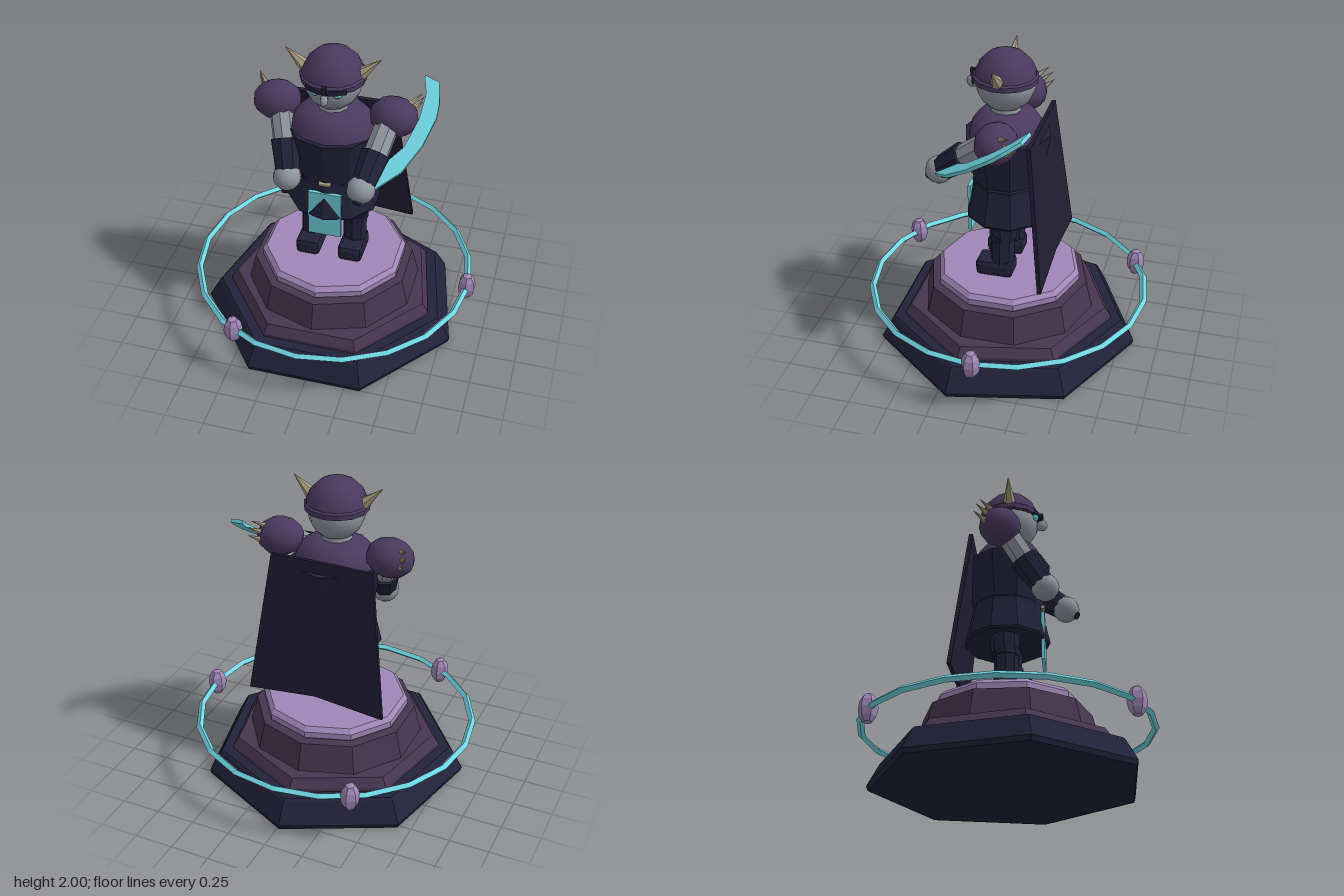
import * as THREE from 'three';
import { RoundedBoxGeometry } from 'three/addons/geometries/RoundedBoxGeometry.js';

const mat = (name, color) => {
  const m = new THREE.MeshStandardMaterial({ color });
  m.name = name;
  return m;
};

export function createModel() {
  const navy = mat('navy', 0x22223a), capeCloth = mat('cape cloth', 0x211e33);
  const purple = mat('purple', 0x4a3a5e), plum = mat('plum', 0x46364f);
  const lilac = mat('lilac', 0x9f87b5), cyan = mat('cyan', 0x70d6e0);
  const skin = mat('grey skin', 0x8f959d), bone = mat('bone', 0xab9f82);

  const root = new THREE.Group();
  root.name = 'warriorOnPedestal';
  root.position.x = -0.015;

  const flat = (geo) => {
    const g = geo.index ? geo.toNonIndexed() : geo;
    g.computeVertexNormals();
    return g;
  };
  const add = (name, geo, material, pos = [0, 0, 0], scale = [1, 1, 1]) => {
    const m = new THREE.Mesh(geo, material);
    m.name = name;
    m.position.set(...pos);
    m.scale.set(...scale);
    root.add(m);
    return m;
  };
  const lathe = (pts, n, start = 0) =>
    new THREE.LatheGeometry(pts.map(([r, y]) => new THREE.Vector2(r, y)), n, start);
  // Tapered cylinder from point a to point b
  const limb = (name, a, b, ra, rb, material, sides = 8) => {
    const A = new THREE.Vector3(...a), d = new THREE.Vector3(...b).sub(A);
    const m = add(name, flat(new THREE.CylinderGeometry(rb, ra, d.length(), sides)), material);
    m.position.copy(A).addScaledVector(d, 0.5);
    m.quaternion.setFromUnitVectors(new THREE.Vector3(0, 1, 0), d.normalize());
    return m;
  };
  const spike = (name, a, b, r) => limb(name, a, b, r, 0.001, bone, 6);
  const shape = (pts) => new THREE.Shape(pts.map(([x, y]) => new THREE.Vector2(x, y)));

  // Stepped pedestal
  add('pedestalBase', flat(lathe([[0, 0], [0.835, 0], [0.845, 0.03], [0.77, 0.165], [0.755, 0.178], [0, 0.178]], 7, Math.PI)), navy);
  add('pedestalStep', flat(lathe([[0, 0.17], [0.685, 0.178], [0.685, 0.2], [0.645, 0.257], [0, 0.257]], 7, Math.PI)), plum);
  add('pedestalDrum', flat(lathe([[0.56, 0.25], [0.515, 0.435], [0, 0.435]], 10)), plum);
  add('pedestalTop', flat(lathe([[0.45, 0.435], [0.467, 0.45], [0.467, 0.49], [0.44, 0.518], [0, 0.518]], 10)), lilac);

  // Floating ring with three gems
  add('ring', flat(new THREE.TorusGeometry(0.888, 0.022, 4, 20)), cyan, [0, 0.35, 0]).rotation.x = Math.PI / 2;
  for (let i = 0; i < 3; i++) {
    const a = (i * Math.PI * 2) / 3;
    const gem = add('ringGem', flat(new THREE.SphereGeometry(0.06, 6, 6)), lilac,
      [0.885 * Math.cos(a), 0.35, 0.885 * Math.sin(a)], [1, 1.58, 1]);
    gem.rotation.y = Math.PI / 2;
  }

  // Boots and legs
  for (const s of [-1, 1]) {
    const x = s * 0.138;
    add('boot', flat(new RoundedBoxGeometry(0.158, 0.11, 0.24, 1, 0.03)), navy, [x, 0.575, 0.045]);
    add('lowerLeg', flat(new THREE.CylinderGeometry(0.076, 0.076, 0.24, 8)), navy, [x, 0.69, 0.003]);
    add('kneeBand', flat(new THREE.CylinderGeometry(0.088, 0.084, 0.04, 8)), navy, [x, 0.8, 0.003]);
    add('upperLeg', flat(new THREE.CylinderGeometry(0.094, 0.084, 0.16, 8)), navy, [x, 0.88, -0.005]);
  }

  // Tunic, belt and chest
  add('skirt', flat(lathe([[0, 0.915], [0.285, 0.915], [0.292, 0.93], [0.237, 1.16], [0, 1.16]], 10)), navy, [0, 0, 0], [1, 1, 0.92]);
  add('belt', flat(lathe([[0.236, 1.125], [0.243, 1.135], [0.243, 1.155], [0.234, 1.165]], 10)), navy, [0, 0, 0], [1, 1, 0.92]);
  add('torso', flat(lathe([[0.232, 1.15], [0.285, 1.468], [0, 1.47]], 10)), navy, [0, 0, 0.005], [1, 1, 0.94]);
  add('chest', lathe([[0.268, 1.465], [0.253, 1.52], [0.205, 1.58], [0.13, 1.612], [0, 1.625]], 12), purple, [0, 0, 0.015], [1, 1, 0.85]);
  add('buckle', new RoundedBoxGeometry(0.075, 0.025, 0.03, 1, 0.006), bone, [0, 1.165, 0.222]);
  add('loincloth', new THREE.BoxGeometry(0.206, 0.32, 0.022), cyan, [0, 0.94, 0.227]);

  // Cape leaning away from the back
  const cape = add('cape', new THREE.ExtrudeGeometry(
    shape([[-0.33, 0], [-0.452, -0.93], [0, -0.885], [0.452, -0.93], [0.33, 0]]),
    { depth: 0.025, bevelEnabled: false }), capeCloth, [0, 1.54, -0.215]);
  cape.rotation.x = 0.114;

  // Head, face and helmet
  const hz = 0.018;
  add('head', new THREE.SphereGeometry(0.178, 14, 10), skin, [0, 1.79, hz], [0.98, 1, 1.03]);
  add('neck', new THREE.CylinderGeometry(0.09, 0.1, 0.08, 10), skin, [0, 1.62, hz]);
  add('nose', new THREE.SphereGeometry(0.036, 8, 6), skin, [0, 1.772, 0.226], [0.65, 1.1, 1]);
  add('helmet', lathe([[0.192, 1.82], [0.185, 1.86], [0.158, 1.92], [0.108, 1.97], [0.06, 1.992], [0, 2]], 14), purple, [0, 0, hz]);
  add('helmetBand', flat(lathe([[0.175, 1.803], [0.198, 1.806], [0.2, 1.838], [0.184, 1.85]], 14)), purple, [0, 0, hz]);
  const brow = add('brow', flat(lathe([[0.17, 1.803], [0.205, 1.805], [0.205, 1.83], [0.17, 1.832]], 14)), navy, [0, 0, hz]);
  brow.geometry = flat(new THREE.LatheGeometry([[0.17, 1.8], [0.206, 1.803], [0.206, 1.828], [0.17, 1.832]].map(
    ([r, y]) => new THREE.Vector2(r, y)), 5, -0.65, 1.3));
  add('browGuard', new THREE.BoxGeometry(0.022, 0.055, 0.025), navy, [0, 1.83, 0.222]);
  for (const s of [-1, 1]) {
    add('eye', new THREE.SphereGeometry(0.03, 8, 6), cyan, [s * 0.068, 1.796, 0.186], [1, 0.75, 0.7]);
    spike('horn', [s * 0.165, 1.855, 0.025], [s * 0.288, 1.97, 0.025], 0.042);
  }

  // Shoulder pads with rear spikes
  for (const s of [-1, 1]) {
    const pad = add('shoulderPad', new THREE.SphereGeometry(0.15, 12, 8), purple, [s * 0.362, 1.565, -0.02], [1, 0.8, 0.87]);
    pad.rotation.z = s * -0.12;
    [[[0.42, 1.62, -0.04], [0.505, 1.68, -0.13]],
      [[0.44, 1.58, -0.06], [0.515, 1.645, -0.155]],
      [[0.44, 1.54, -0.08], [0.505, 1.6, -0.17]]].forEach(([a, b]) =>
      spike('shoulderSpike', [s * a[0], a[1], a[2]], [s * b[0], b[1], b[2]], 0.026));
  }

  // Arms: the left one reaches further forward to hold the sword
  const arm = (side, shoulder, elbow, wrist, hand) => {
    limb(side + 'UpperArm', shoulder, elbow, 0.075, 0.075, skin);
    limb(side + 'Forearm', elbow, wrist, 0.092, 0.078, navy);
    add(side + 'Hand', new THREE.SphereGeometry(0.087, 12, 8), skin, hand);
  };
  arm('right', [-0.335, 1.57, 0], [-0.275, 1.385, 0.12], [-0.232, 1.235, 0.225], [-0.228, 1.2, 0.25]);
  arm('left', [0.345, 1.57, 0], [0.305, 1.425, 0.19], [0.27, 1.31, 0.335], [0.26, 1.285, 0.365]);

  // Curved sword, drawn in its own plane and tilted back
  limb('swordGrip', [0.25, 1.23, 0.44], [0.285, 1.31, 0.33], 0.026, 0.026, navy);
  const outline = [[0.28, 1.3], [0.32, 1.283], [0.475, 1.37], [0.565, 1.475], [0.613, 1.58], [0.613, 1.634],
    [0.586, 1.71], [0.491, 1.73], [0.523, 1.66], [0.512, 1.565], [0.459, 1.46], [0.359, 1.385]];
  const blade = add('swordBlade', new THREE.ExtrudeGeometry(
    shape(outline.map(([x, y]) => [x, (y - 1.31) / 0.577])),
    { depth: 0.022, bevelEnabled: false }), cyan, [0, 1.3, 0.333]);
  blade.rotation.x = -0.956;

  return root;
}
